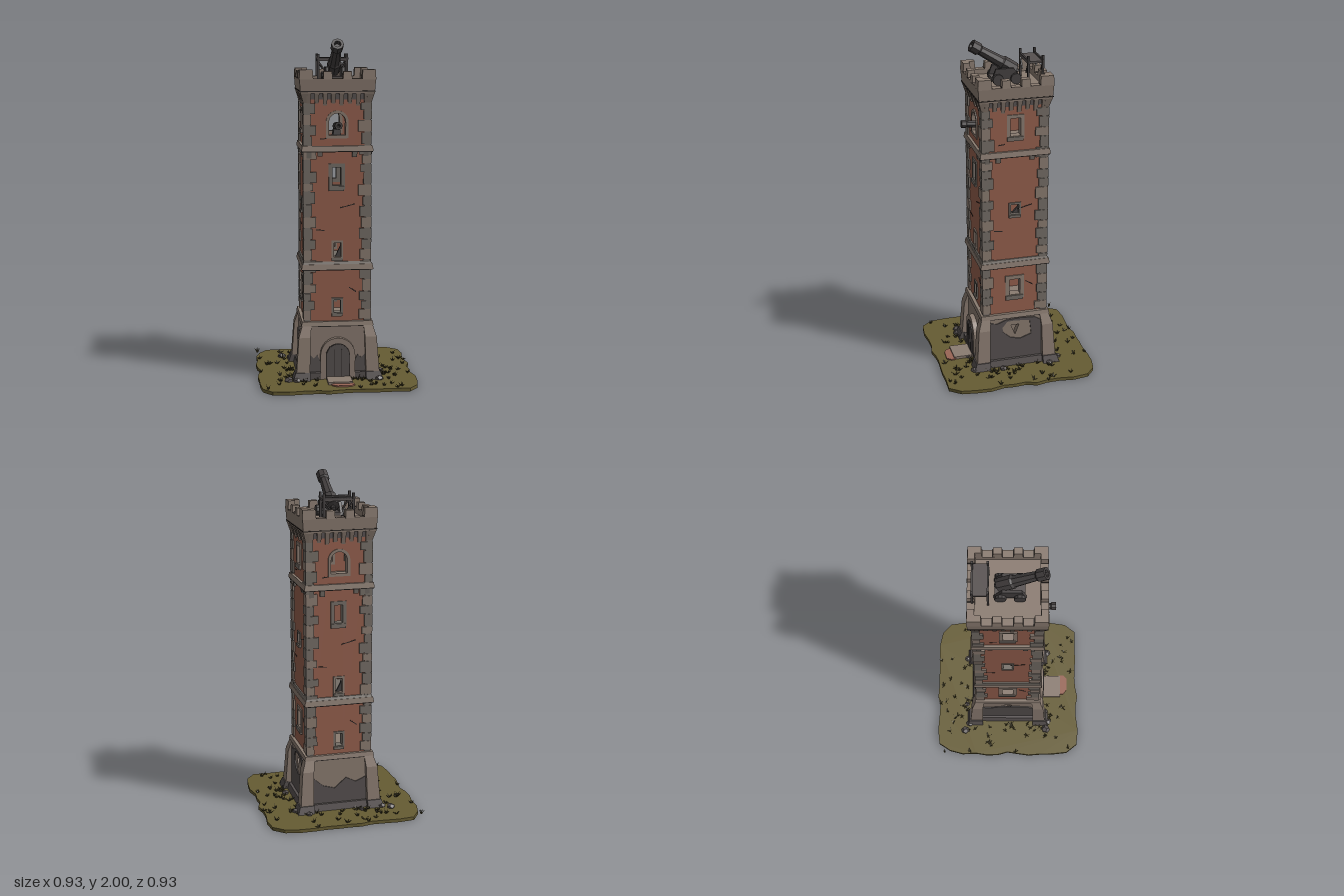
import * as THREE from 'three';
import { mergeGeometries } from 'three/addons/utils/BufferGeometryUtils.js';

const paint = (name, color) => {
  const m = new THREE.MeshStandardMaterial({ color });
  m.name = name;
  return m;
};

let seed = 7;
const rnd = (a = 0, b = 1) => {
  seed = (seed * 16807) % 2147483647;
  return a + (b - a) * (seed / 2147483647);
};

// adds a faceted mesh
function add(parent, name, geo, mat, x = 0, y = 0, z = 0) {
  const g = geo.index ? geo.toNonIndexed() : geo;
  g.computeVertexNormals();
  const mesh = new THREE.Mesh(g, mat);
  mesh.name = name;
  mesh.position.set(x, y, z);
  parent.add(mesh);
  return mesh;
}

// block between two rectangles [x0, x1, z0, z1] at heights y0 and y1
function block(y0, y1, low, high = low) {
  const g = new THREE.BoxGeometry(1, 1, 1), p = g.attributes.position;
  for (let i = 0; i < p.count; i++) {
    const r = p.getY(i) > 0 ? high : low;
    p.setXYZ(i, r[p.getX(i) > 0 ? 1 : 0], p.getY(i) > 0 ? y1 : y0, r[p.getZ(i) > 0 ? 3 : 2]);
  }
  return g;
}
const square = (r) => [-r, r, -r, r];
const poly = (pts) => new THREE.Shape(pts.map(([x, y]) => new THREE.Vector2(x, y)));

// flat shape with holes, extruded from z0 to z1
function slab(shape, z0, z1, holes = []) {
  shape.holes.push(...holes);
  return new THREE.ExtrudeGeometry(shape, { depth: z1 - z0, bevelEnabled: false, curveSegments: 8 }).translate(0, 0, z0);
}

// opening outline, grown by pad; arched ones end in a half circle
function opening({ x = 0, y0, y1, w, arch }, pad = 0) {
  const s = new THREE.Shape(), r = w + pad;
  s.moveTo(x - r, y0 - pad);
  s.lineTo(x + r, y0 - pad);
  if (arch) s.absarc(x, y1 - w, r, 0, Math.PI, false);
  else { s.lineTo(x + r, y1 + pad); s.lineTo(x - r, y1 + pad); }
  s.closePath();
  return s;
}

export function createModel() {
  const stone = paint('stone', 0x8b7c71);
  const worn = paint('worn stone', 0x756e67);
  const dark = paint('dark stone', 0x575150);
  const brick = paint('brick', 0x96604e);
  const iron = paint('iron and old timber', 0x454141);
  const earth = paint('olive ground', 0x665c33);
  const weed = paint('dry grass', 0x403a1f);
  const ink = paint('dark joints', 0x2b2624);
  const clay = paint('clay paving', 0x9a6656);
  const root = new THREE.Group();
  root.name = 'watchtower';

  // ground with a ragged outline
  const edge = [];
  for (let i = 0; i < 44; i++) {
    const a = (i / 44) * Math.PI * 2, c = Math.cos(a), s = Math.sin(a);
    const r = 0.455 / Math.pow(c ** 10 + s ** 10, 0.1) + rnd(-0.012, 0.014);
    edge.push([r * c, r * s]);
  }
  add(root, 'ground', slab(poly(edge), 0, 0.02).rotateX(-Math.PI / 2), earth);

  // openings: front and back, then the two sides
  const faceWindows = [
    { y0: 1.45, y1: 1.575, w: 0.048, arch: true, pad: 0.017 },
    { x: -0.003, y0: 1.16, y1: 1.265, w: 0.025, pad: 0.022 },
    { y0: 0.74, y1: 0.825, w: 0.021, pad: 0.013 },
    { y0: 0.41, y1: 0.485, w: 0.02, pad: 0.013 },
  ];
  const sideWindows = [
    { x: 0.003, y0: 1.48, y1: 1.585, w: 0.03, pad: 0.02 },
    { y0: 1.0, y1: 1.06, w: 0.025, pad: 0.012 },
    { y0: 0.48, y1: 0.58, w: 0.033, pad: 0.024 },
  ];
  const triangle = () => poly([[-0.025, 0.28], [0, 0.215], [0.025, 0.28]]);
  const merlons = [[-0.083, -0.03], [0.03, 0.083]];

  for (let i = 0; i < 4; i++) {
    const side = new THREE.Group();
    side.name = ['front', 'rightView', 'back', 'leftView'][i] + 'Side';
    side.rotation.y = i * Math.PI / 2;
    root.add(side);
    const lateral = i % 2 === 1, windows = lateral ? sideWindows : faceWindows;

    // brick wall and window surrounds
    const W = 0.188;
    add(side, 'brickWall', slab(poly([[-W, 0.34], [W, 0.34], [W, 1.72], [-W, 1.72]]), W - 0.04, W,
      windows.map((o) => opening(o, 0.003))), brick);
    windows.forEach((o, k) => {
      add(side, 'windowSurround', slab(opening(o, o.pad), W - 0.045, W + 0.007, [opening(o)]), k % 2 ? worn : stone);
      if (!o.arch) {
        add(side, 'sill', block(o.y0 - o.pad - 0.008, o.y0 - 0.004, [o.x - 0 || 0, 0, 0, 0].map((v, j) =>
          [(o.x || 0) - o.w - o.pad, (o.x || 0) + o.w + o.pad * 0.7, W - 0.02, W + 0.014][j])), worn);
      }
    });
    const slit = windows[lateral ? 1 : 2];
    add(side, 'brokenBoard', slab(poly([[slit.w, slit.y0], [slit.w, slit.y1 - 0.02], [-slit.w * 0.5, slit.y0]]), W - 0.03, W - 0.015), iron);

    // corner stones, a narrow strip and blocks of uneven length
    add(side, 'cornerStrip', block(0.34, 1.69, [0.157, 0.195, 0.157, 0.195]), worn);
    for (let y = 0.37, k = 0; y < 1.6; k++) {
      const h = rnd(0.045, 0.075);
      const a = 0.197 - (k % 2 ? rnd(0.045, 0.058) : rnd(0.062, 0.078));
      const b = 0.197 - (k % 2 ? rnd(0.062, 0.076) : rnd(0.042, 0.056));
      add(side, 'cornerBlock', block(y, y + h - 0.005, [a, 0.198, b, 0.198]), k % 3 ? worn : stone);
      y += h;
    }

    // base wall with plaster patches
    add(side, 'baseWall', slab(poly([[-0.203, 0.01], [0.203, 0.01], [0.203, 0.34], [-0.203, 0.34]]), 0.163, 0.203,
      lateral ? [triangle()] : []), stone);
    if (lateral) {
      const top = i === 1 ? 0.32 : 0.25;
      const bare = poly([[-0.08, 0.27], [-0.075, 0.24], [-0.03, 0.2], [0.03, 0.185], [0.1, 0.21], [0.09, top - 0.02], [0, top - 0.008], [-0.05, top - 0.012]]);
      add(side, 'plaster', slab(poly([[-0.17, 0.05], [0.17, 0.05], [0.17, top - 0.03], [0.12, top], [0.03, top + 0.005], [-0.06, top], [-0.11, top - 0.02], [-0.17, top - 0.01]]),
        0.203, 0.209, i === 1 ? [bare] : [triangle()]), dark);
    } else if (i === 2) {
      add(side, 'plaster', slab(poly([[-0.17, 0.05], [0.17, 0.05], [0.17, 0.21], [0.1, 0.18], [0.04, 0.21], [-0.03, 0.15], [-0.1, 0.17], [-0.17, 0.23]]), 0.203, 0.209), dark);
    } else {
      for (const s of [-1, 1])
        add(side, 'plaster', slab(poly([[0.09 * s, 0.05], [0.17 * s, 0.05], [0.17 * s, 0.17], [0.14 * s, 0.14], [0.12 * s, 0.16], [0.09 * s, 0.1]]), 0.203, 0.209), dark);
    }
    if (i !== 0) add(side, 'plinth', block(0.01, 0.06, [-0.18, 0.18, 0.18, 0.237], [-0.18, 0.18, 0.18, 0.225]), dark);
    else for (const s of [0, 1])
      add(side, 'plinth', block(0.01, 0.06, [s ? 0.1 : -0.18, s ? 0.18 : -0.1, 0.18, 0.235]), dark);

    // corner buttress on a wide foot
    add(side, 'buttressFoot', block(0.01, 0.065, [0.165, 0.268, 0.165, 0.268], [0.163, 0.25, 0.163, 0.25]), dark);
    add(side, 'buttress', block(0.06, 0.27, [0.165, 0.244, 0.165, 0.244], [0.16, 0.229, 0.16, 0.229]), stone);
    add(side, 'buttressTop', block(0.27, 0.345, [0.16, 0.229, 0.16, 0.229], [0.152, 0.205, 0.152, 0.205]), stone);

    // little brackets under the upper band
    for (const x of [-0.165, -0.1, 0.1, 0.165])
      add(side, 'bandBracket', block(rnd(1.315, 1.335), 1.36, [x - 0.014, x + 0.014, 0.18, 0.199], [x - 0.014, x + 0.014, 0.18, 0.204]), worn);

    // corbels carrying the parapet
    add(side, 'corbelShadow', block(1.655, 1.7, [-0.19, 0.19, 0.18, 0.193]), dark);
    for (let k = 0; k < 8; k++) {
      const x = -0.166 + k * 0.0475, y = 1.62 + (k % 2) * 0.012;
      add(side, 'corbel', block(y, 1.7, [x - 0.011, x + 0.011, 0.18, 0.194], [x - 0.014, x + 0.014, 0.18, 0.214]), stone);
    }
    add(side, 'cornerCorbel', block(1.635, 1.7, [0.17, 0.196, 0.17, 0.196], [0.17, 0.215, 0.17, 0.215]), stone);

    // parapet wall, merlons and stone joints
    add(side, 'parapet', block(1.69, 1.775, [-0.213, 0.213, 0.176, 0.213], [-0.219, 0.219, 0.176, 0.219]), stone);
    add(side, 'cornerMerlon', block(1.77, 1.825, [0.14, 0.22, 0.176, 0.22], [0.143, 0.217, 0.178, 0.217]), stone);
    add(side, 'cornerMerlon', block(1.77, 1.825, [-0.22, -0.14, 0.176, 0.22], [-0.217, -0.143, 0.178, 0.217]), stone);
    for (const [a, b] of merlons) {
      add(side, 'merlon', block(1.77, 1.815, [a, b, 0.176, 0.22], [a + 0.003, b - 0.003, 0.178, 0.217]), stone);
      for (const x of [a, b]) add(side, 'joint', block(1.773, 1.778, [x - 0.0025, x + 0.0025, 0.176, 0.22]), ink);
    }
    for (const x of [-0.14, 0.14]) add(side, 'joint', block(1.773, 1.778, [x - 0.0025, x + 0.0025, 0.176, 0.22]), ink);

    // cracks in the brick
    for (const [x, y, l, t] of [[0.06, 1.04, 0.09, 0.25], [-0.1, 0.9, 0.05, -0.1], [0.09, 0.545, 0.05, -0.6], [-0.08, 1.43, 0.04, 0.1]])
      add(side, 'crack', new THREE.BoxGeometry(l, 0.005, 0.004).rotateZ(t), ink, x, y, W);
  }

  // bands around the shaft, with dark joints beneath
  for (const [y0, y1, r, mat] of [[0.335, 0.36, 0.212, stone], [0.67, 0.7, 0.21, stone], [1.36, 1.39, 0.208, stone]]) {
    add(root, 'band', block(y0, y1, square(r), square(r - 0.005)), mat);
    add(root, 'bandJoint', block(y0 - 0.006, y0, square(r - 0.004)), ink);
  }
  add(root, 'lowerBandTrim', block(0.7, 0.715, square(0.202), square(0.196)), worn);
  add(root, 'parapetJoint', block(1.7, 1.705, square(0.217)), ink);
  add(root, 'roofFloor', block(1.7, 1.745, square(0.18)), stone);

  // arched door and step
  const door = { y0: 0.02, y1: 0.23, w: 0.066, arch: true };
  add(root, 'doorSurround', slab(opening({ ...door, y0: 0.055 }, 0.036), 0.2, 0.232, [opening({ ...door, y0: 0.02 })].slice(1)), stone);
  add(root, 'doorReveal', slab(opening(door, 0.005), 0.2, 0.2335), ink);
  add(root, 'door', slab(opening(door), 0.2, 0.237), dark);
  for (const x of [-0.022, 0.022]) add(root, 'doorPlankGap', block(0.03, 0.2, [x - 0.002, x + 0.002, 0.23, 0.239]), ink);
  add(root, 'doorStep', block(0.015, 0.036, [-0.068, 0.075, 0.23, 0.35]), stone);
  add(root, 'clayStep', slab(poly([[-0.05, -0.34], [0.08, -0.34], [0.083, -0.37], [0.06, -0.395], [-0.02, -0.392], [-0.05, -0.37]]), 0.015, 0.027).rotateX(-Math.PI / 2), clay);

  // big gun on the roof
  const lathe = (pts, n) => new THREE.LatheGeometry(pts.map(([r, y]) => new THREE.Vector2(r, y)), n);
  const gun = new THREE.Group();
  gun.name = 'roofGun';
  root.add(gun);
  const barrel = lathe([[0, -0.025], [0.014, -0.02], [0.014, 0], [0.04, 0.004], [0.042, 0.09], [0.034, 0.1], [0.027, 0.24],
    [0.036, 0.25], [0.036, 0.3], [0.02, 0.3], [0.018, 0.27], [0, 0.27]], 8).rotateX(1.01);
  add(gun, 'barrel', barrel, iron, 0, 1.81, -0.05);
  for (const s of [-1, 1]) {
    add(gun, 'carriageCheek', block(1.765, 1.835, [s * 0.047 - 0.008, s * 0.047 + 0.008, -0.075, 0.1], [s * 0.047 - 0.008, s * 0.047 + 0.008, -0.03, 0.075]), iron);
    for (const z of [-0.04, 0.065])
      add(gun, 'wheel', new THREE.CylinderGeometry(0.032, 0.032, 0.016, 10).rotateZ(Math.PI / 2), iron, s * 0.064, 1.776, z);
  }
  add(gun, 'carriageBed', block(1.762, 1.782, [-0.045, 0.045, -0.07, 0.095]), dark);

  // small gun in the arched window
  const small = lathe([[0, 0], [0.024, 0.004], [0.019, 0.1], [0.023, 0.105], [0.023, 0.13], [0.011, 0.13], [0, 0.115]], 8).rotateX(Math.PI / 2 - 0.08);
  add(root, 'windowGun', small, iron, 0, 1.5, 0.138);
  add(root, 'windowGunStand', block(1.43, 1.5, [-0.027, 0.027, 0.1, 0.18], [-0.015, 0.015, 0.12, 0.17]), iron);

  // timber stand behind the gun
  const stand = new THREE.Group();
  stand.name = 'timberStand';
  root.add(stand);
  add(stand, 'deck', block(1.865, 1.877, [-0.09, 0.094, -0.195, -0.1]), dark);
  for (const z of [-0.19, -0.105]) {
    add(stand, 'rim', block(1.875, 1.886, [-0.092, 0.096, z - 0.005, z + 0.005]), iron);
    for (const x of [-0.084, 0.088]) {
      add(stand, 'leg', block(1.74, 1.908, [x - 0.007, x + 0.007, z - 0.006, z + 0.006]), iron);
      const brace = new THREE.BoxGeometry(0.008, 0.08, 0.008).rotateZ(x > 0 ? -0.6 : 0.6);
      add(stand, 'brace', brace, iron, x * 0.74, 1.835, z);
    }
  }

  // rubble around the foot
  for (const [x, z, r] of [[-0.3, -0.28, 0.026], [-0.25, -0.25, 0.025], [-0.29, 0.25, 0.028], [-0.24, 0.265, 0.022], [0.265, 0.09, 0.022],
    [0.24, 0.26, 0.025], [0.2, -0.27, 0.02], [0.27, -0.2, 0.022], [-0.12, -0.27, 0.016], [0.07, 0.265, 0.014]])
    add(root, 'rubble', new THREE.DodecahedronGeometry(r, 0).rotateY(rnd(0, 6)).scale(1, 0.75, 1), dark, x, 0.025, z);

  // grass tufts, thick by the walls and sparse toward the rim
  const blades = [];
  for (let i = 0; i < 110; i++) {
    const near = i < 62, d = near ? rnd(0.245, 0.31) : rnd(0.33, 0.45);
    const t = rnd(-0.95, 0.95) * d, k = i % 4;
    const x = [t, d, t, -d][k], z = [d, t, -d, -t][k];
    if (z > 0.22 && Math.abs(x) < 0.09) continue;
    for (let j = 0; j < 5; j++) {
      const h = rnd(0.02, 0.036);
      blades.push(new THREE.ConeGeometry(0.0045, h, 3).translate(0, h / 2, 0)
        .rotateX(rnd(0.3, 1.1)).rotateY(j * 1.26 + rnd(0, 0.8)).translate(x, 0.017, z));
    }
  }
  add(root, 'grassTufts', mergeGeometries(blades), weed);
  return root;
}
